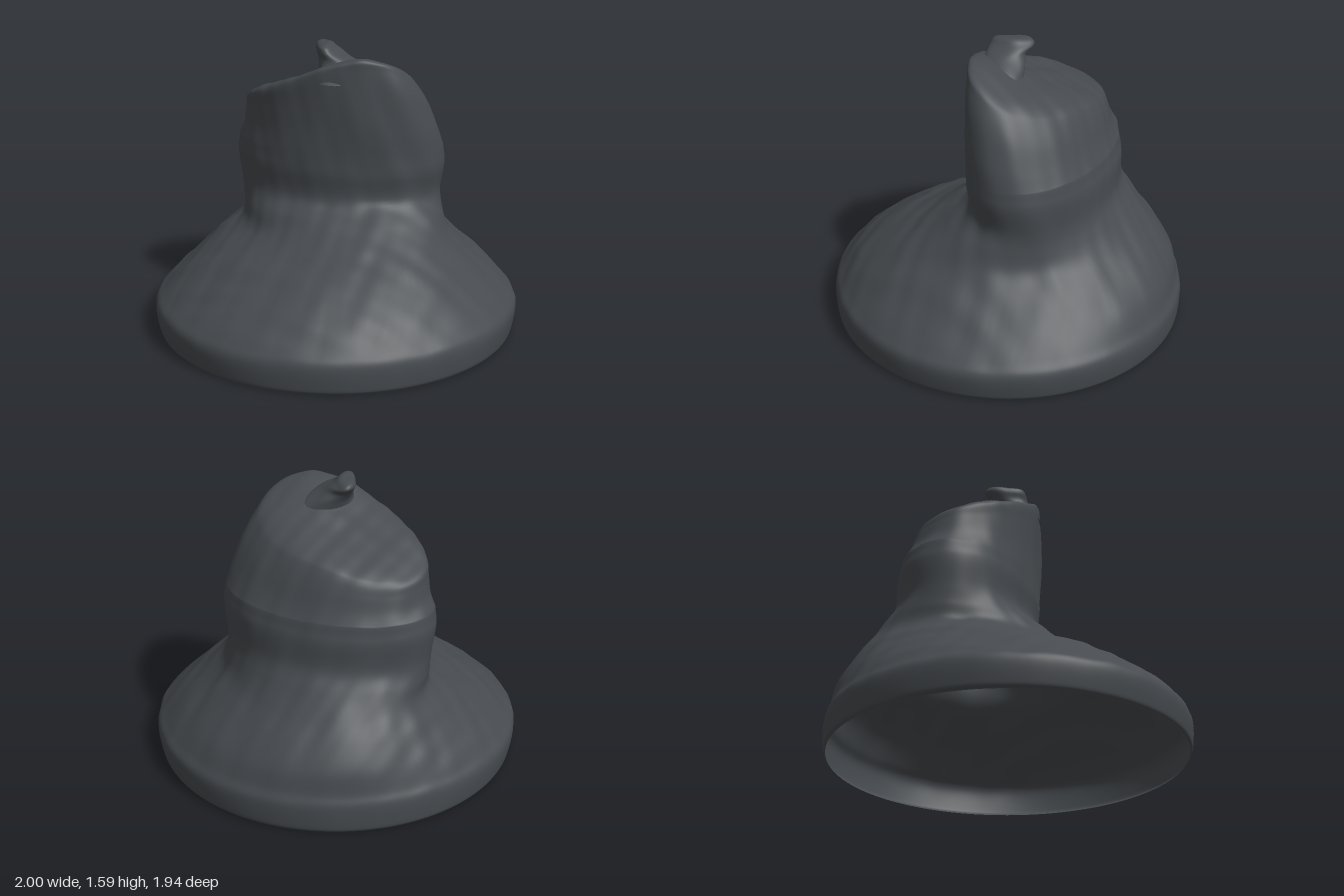
import * as THREE from 'three';

const SEGMENTS = 128;

// Slanted height of the crown: low at the back, with a raised fold at the front
const crownHeight = (x, z) =>
  1.435 + 0.1 * x + 0.38 * z - 0.55 * Math.max(0, x) ** 2 +
  0.035 * Math.exp(-25 * ((x - 0.07) ** 2 + (z - 0.12) ** 2));

// Gentle hand-moulded unevenness
const lumps = (x, y, z) =>
  0.004 * Math.sin(11 * x + 1) * Math.sin(10 * z + 2) * Math.sin(9 * y + 1) +
  0.003 * Math.sin(23 * x + 5 * y) * Math.sin(21 * z - 7 * y) +
  0.002 * Math.sin(37 * z + 9 * x) * Math.sin(35 * x + 15 * y);

// Lofts skewed ellipses. Row: [height, centre x, centre z, half x, half z, skew]
function loft(rows, steps, heightAt) {
  const curve = (pick) => new THREE.CatmullRomCurve3(rows.map(pick), false, 'catmullrom');
  const centres = curve((r) => new THREE.Vector3(r[1], r[0], r[2]));
  const sizes = curve((r) => new THREE.Vector3(r[3], r[5], r[4]));
  const positions = [], indices = [];
  for (let i = 0; i <= steps; i++) {
    const c = centres.getPoint(i / steps), s = sizes.getPoint(i / steps);
    const skew = THREE.MathUtils.clamp(s.y, -0.95, 0.95);
    for (let j = 0; j < SEGMENTS; j++) {
      const t = (j / SEGMENTS) * Math.PI * 2;
      const dx = s.x * Math.cos(t);
      const dz = s.z * (skew * Math.cos(t) + Math.sqrt(1 - skew * skew) * Math.sin(t));
      const x = c.x + dx, z = c.z + dz, y = heightAt(c.y, x, z);
      const n = lumps(x, y, z) * Math.min(1, Math.max(0, y) / 0.3);
      const r = Math.hypot(dx, dz) || 1;
      positions.push(x + (dx / r) * n, Math.max(0, y + n), z + (dz / r) * n);
      if (i < steps) {
        const a = i * SEGMENTS + j, b = i * SEGMENTS + ((j + 1) % SEGMENTS);
        indices.push(a, a + SEGMENTS, b, b, a + SEGMENTS, b + SEGMENTS);
      }
    }
  }
  const geometry = new THREE.BufferGeometry();
  geometry.setAttribute('position', new THREE.Float32BufferAttribute(positions, 3));
  geometry.setIndex(indices);
  geometry.computeVertexNormals();
  return geometry;
}

export function createModel() {
  const group = new THREE.Group();
  const material = new THREE.MeshStandardMaterial({ color: 0x474b4f, side: THREE.DoubleSide });
  const add = (name, geometry) => {
    const mesh = new THREE.Mesh(geometry, material);
    mesh.name = name;
    group.add(mesh);
  };

  // Hollow body: round rim, sloping skirt, oval neck and slanted crown.
  // Heights above 1 are fractions of the way to the crown surface.
  const body = [
    [0, 0, 0, 0.965, 0.95, 0],
    [0.03, 0, 0, 0.985, 0.965, 0],
    [0.15, 0, 0, 0.998, 0.967, 0],
    [0.22, 0.005, -0.01, 0.945, 0.932, 0],
    [0.33, 0.02, -0.045, 0.825, 0.868, 0],
    [0.45, 0.04, -0.09, 0.675, 0.755, 0.05],
    [0.55, 0.07, -0.135, 0.555, 0.635, 0.15],
    [0.65, 0.065, -0.175, 0.53, 0.52, 0.27],
    [0.75, 0.06, -0.205, 0.528, 0.43, 0.36],
    [0.9, 0.06, -0.2, 0.545, 0.432, 0.39],
    [1.0, 0.06, -0.19, 0.535, 0.424, 0.4],
    [1.3, 0.055, -0.17, 0.505, 0.41, 0.41],
    [1.65, 0.03, -0.16, 0.47, 0.395, 0.41],
    [1.88, 0.0, -0.155, 0.435, 0.378, 0.41],
    [1.97, 0.0, -0.14, 0.385, 0.352, 0.4],
    [2.0, 0, -0.12, 0.3, 0.28, 0.4],
    [2.0, 0, -0.1, 0.15, 0.14, 0.4],
    [2.0, 0, -0.1, 0, 0, 0.4],
  ];
  add('body', loft(body, 136,
    (v, x, z) => (v <= 1 ? v : 1 + (v - 1) * (crownHeight(x, z) - 1))));

  // Pinched tip: a narrow stalk on the fold, flaring into a thin backward-leaning ridge
  const tip = [
    [1.4, 0.06, 0.06, 0.19, 0.13, -0.2],
    [1.46, 0.03, 0.04, 0.13, 0.12, -0.1],
    [1.51, -0.01, 0.015, 0.085, 0.11, 0.1],
    [1.55, -0.045, -0.025, 0.06, 0.115, -0.2],
    [1.575, -0.055, -0.03, 0.045, 0.1, -0.3],
    [1.585, -0.055, -0.03, 0.025, 0.06, -0.3],
    [1.585, -0.055, -0.03, 0, 0, -0.3],
  ];
  add('pinchedTip', loft(tip, 36, (v) => v));

  return group;
}
